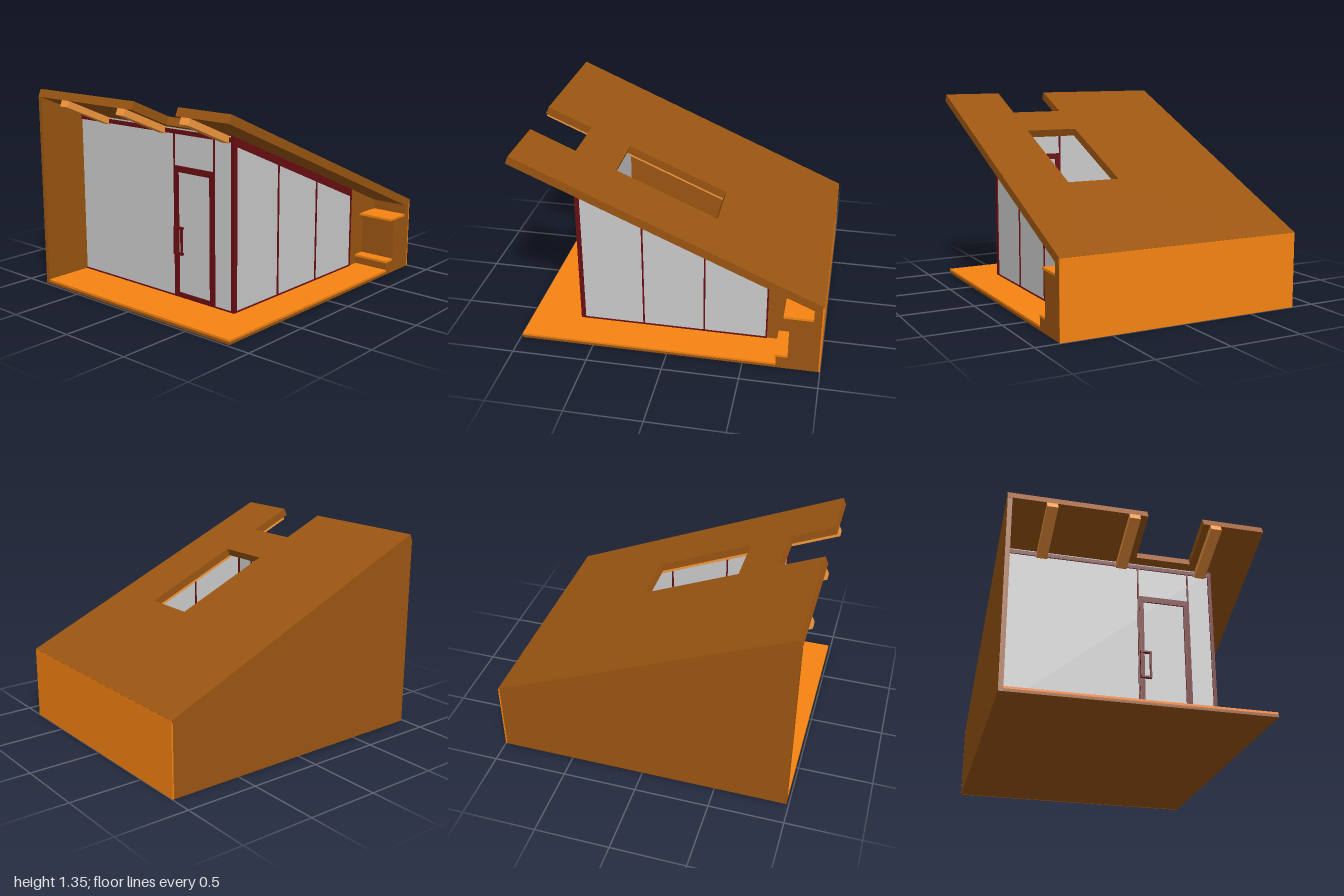
import * as THREE from 'three';

const mat = (color) => new THREE.MeshStandardMaterial({ color, side: THREE.DoubleSide });
const brown = mat(0x9c5612), orange = mat(0xf78412), tan = mat(0xf79a40);
const red = mat(0x6a0e12), glass = mat(0xcccccc), steel = mat(0x8c9c9c);

// roof line: start of the upper surface, slope and slab thickness
const X0 = -0.965, Y0 = 1.35, SLOPE = 0.4326, T = 0.055;
const ANGLE = Math.atan(SLOPE), COS = Math.cos(ANGLE);
const along = (x) => (x - X0) / COS;
const under = (x) => Y0 - (x - X0) * SLOPE - T / COS;
const HALF = 0.84, GZ = 0.575, GX0 = -0.65, GX1 = 0.63;

export function createModel() {
  const model = new THREE.Group();

  function add(name, geometry, material) {
    const mesh = new THREE.Mesh(geometry, material);
    mesh.name = name;
    model.add(mesh);
    return mesh;
  }
  // box given by its limits
  function box(name, material, x0, x1, y0, y1, z0, z1) {
    const g = new THREE.BoxGeometry(x1 - x0, y1 - y0, z1 - z0);
    g.translate((x0 + x1) / 2, (y0 + y1) / 2, (z0 + z1) / 2);
    return add(name, g, material);
  }
  const outline = (pts) => new THREE.Shape(pts.map(([x, y]) => new THREE.Vector2(x, y)));
  // side profile (x, y) extruded from z0 to z1
  function profile(name, material, pts, z0, z1) {
    const g = new THREE.ExtrudeGeometry(outline(pts), { depth: z1 - z0, bevelEnabled: false });
    return add(name, g.translate(0, 0, z0), material);
  }
  // lay a flat geometry on the roof slope
  const tilt = (g) => g.rotateZ(-ANGLE).translate(X0, Y0, 0);

  // roof slab with an edge notch and a skylight opening
  const end = along(1), notch = along(-0.67), za = -0.43, zb = -0.06;
  const roof = outline([[0, -HALF], [end, -HALF], [end, HALF], [0, HALF],
    [0, zb], [notch, zb], [notch, za], [0, za]]);
  const s0 = along(-0.405), s1 = along(0.26);
  roof.holes.push(outline([[s0, za], [s0, zb], [s1, zb], [s1, za]]));
  const slab = new THREE.ExtrudeGeometry(roof, { depth: T, bevelEnabled: false });
  add('roof', tilt(slab.translate(0, 0, -T).rotateX(-Math.PI / 2)), brown);

  // rafters
  for (const z of [-0.56, -0.03, 0.51]) {
    const len = along(0.85);
    const g = new THREE.BoxGeometry(len, 0.043, 0.07);
    add('rafter', tilt(g.translate(len / 2, -T - 0.0215, z)), tan);
  }

  // back wall, base, floor
  profile('backWall', brown,
    [[-0.985, 0], [0.99, 0], [0.99, 0.495], [X0, Y0 - 0.005], [-0.985, 1.3]], -HALF, -0.81);
  box('base', brown, -0.985, 0.99, 0, 0.018, -HALF, HALF);
  box('floor', orange, -0.985, 0.715, 0.018, 0.032, -0.81, HALF);

  // stepped end block, its boards and the outer panel
  profile('endBlock', brown, [[0.715, 0], [0.99, 0], [0.99, 0.495], [0.94, 0.47],
    [0.94, 0.385], [0.79, 0.385], [0.79, 0.085], [0.715, 0.085]], -0.81, HALF);
  box('lowBoard', orange, 0.705, 0.79, 0.085, 0.1, -0.81, HALF);
  box('highBoard', orange, 0.75, 0.94, 0.385, 0.4, -0.81, HALF);
  box('endPanel', orange, 0.99, 1, 0, 0.499, -HALF, HALF);

  // wall closing the gap between front glazing and end block
  profile('infillWall', brown,
    [[GX1, 0.03], [0.94, 0.03], [0.94, under(0.94)], [GX1, under(GX1)]], GZ - 0.015, GZ + 0.005);

  // front glazing with its frame
  const g0 = GX0 + 0.01;
  profile('frontGlass', glass,
    [[g0, 0.03], [GX1, 0.03], [GX1, under(GX1)], [g0, under(g0)]], GZ - 0.005, GZ + 0.005);
  const zf = [GZ - 0.012, GZ + 0.012];
  profile('frontTopRail', red, [[GX0, under(GX0) - 0.055], [GX1, under(GX1) - 0.055],
    [GX1, under(GX1)], [GX0, under(GX0)]], ...zf);
  box('frontBottomRail', red, GX0, GX1, 0.03, 0.04, ...zf);
  for (const [x, w] of [[-0.635, 0.03], [-0.21, 0.01], [0.205, 0.01], [0.625, 0.01]])
    box('frontPost', red, x - w / 2, x + w / 2, 0.03, under(x) - 0.02, ...zf);

  // side glazing with its frame
  const top = under(GX0), xf = [GX0, -0.625];
  box('sideGlass', glass, -0.643, -0.633, 0.03, top, -0.81, GZ);
  box('sideTopRail', red, ...xf, top - 0.04, top - 0.012, -0.81, GZ);
  box('sideBottomRail', red, ...xf, 0.03, 0.04, -0.81, GZ);
  for (const z of [0.08, 0.42]) box('sidePost', red, ...xf, 0.03, top - 0.02, z - 0.005, z + 0.005);

  // door frame
  const xd = [-0.652, -0.622];
  box('doorTopRail', red, ...xd, 0.87, 0.91, 0.085, 0.415);
  box('doorBottomRail', red, ...xd, 0.035, 0.065, 0.085, 0.415);
  box('doorHingeStile', red, ...xd, 0.035, 0.9, 0.385, 0.415);
  box('doorLockStile', red, ...xd, 0.035, 0.9, 0.085, 0.115);
  box('doorCloser', steel, -0.622, -0.595, 0.865, 0.892, 0.28, 0.41);
  box('doorCloserArm', steel, -0.622, -0.605, 0.892, 0.906, 0.31, 0.4);

  // door handle: a rectangular loop
  const xh = [-0.668, -0.655];
  for (const z of [0.085, 0.145]) box('handleBar', red, ...xh, 0.325, 0.51, z, z + 0.012);
  for (const y of [0.325, 0.498]) box('handleEnd', red, -0.668, -0.645, y, y + 0.012, 0.085, 0.157);

  return model;
}
